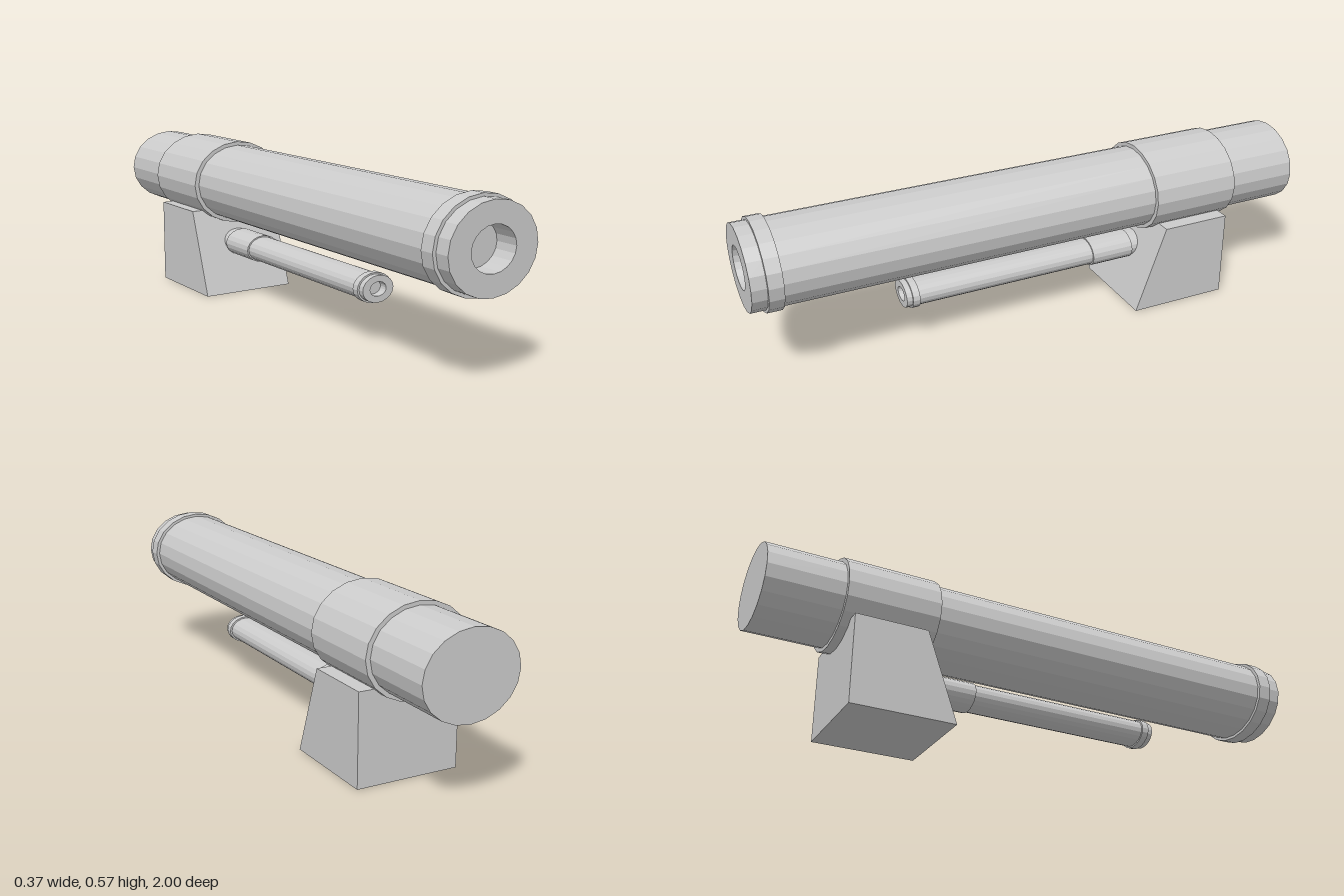
import * as THREE from 'three';

const material = new THREE.MeshStandardMaterial({ color: 0xcccccc, flatShading: true });

// Oval tube along z, from a [radius, z] profile running back to front
function ovalTube(name, profile, flatten, y) {
  const points = profile.map(([r, z]) => new THREE.Vector2(r, z));
  const geometry = new THREE.LatheGeometry(points, 20);
  geometry.rotateX(Math.PI / 2);
  geometry.scale(1, flatten, 1);
  const mesh = new THREE.Mesh(geometry, material);
  mesh.name = name;
  mesh.position.set(-0.001, y, 0);
  return mesh;
}

export function createModel() {
  const model = new THREE.Group();
  model.name = 'cannon';

  // Main barrel with rear sleeve, muzzle band and blind bore
  model.add(ovalTube('mainBarrel', [
    [0, -1], [0.167, -1],
    [0.167, -0.74], [0.183, -0.74], [0.183, -0.42], [0.167, -0.42],
    [0.167, 0.90], [0.179, 0.90], [0.179, 0.95], [0.167, 0.95],
    [0.167, 1], [0.084, 1], [0.084, 0.92], [0, 0.92],
  ], 0.843, 0.412));

  // Small barrel slung beneath, its rear set into the mount
  model.add(ovalTube('lowerBarrel', [
    [0, -0.5], [0.061, -0.5],
    [0.061, -0.395], [0.067, -0.395], [0.067, -0.235], [0.061, -0.235],
    [0.061, 0.43], [0.068, 0.43], [0.068, 0.455], [0.061, 0.455],
    [0.061, 0.475], [0.032, 0.475], [0.032, 0.445], [0, 0.445],
  ], 0.74, 0.185));

  // Wedge mount: side outline drawn as (-z, y), extruded across x
  const outline = new THREE.Shape([
    new THREE.Vector2(0.35, 0), new THREE.Vector2(0.71, 0),
    new THREE.Vector2(0.71, 0.308), new THREE.Vector2(0.46, 0.308),
  ]);
  const wedge = new THREE.ExtrudeGeometry(outline, { depth: 0.359, bevelEnabled: false });
  wedge.rotateY(Math.PI / 2);
  const mount = new THREE.Mesh(wedge, material);
  mount.name = 'mount';
  mount.position.x = -0.175;
  model.add(mount);

  return model;
}
